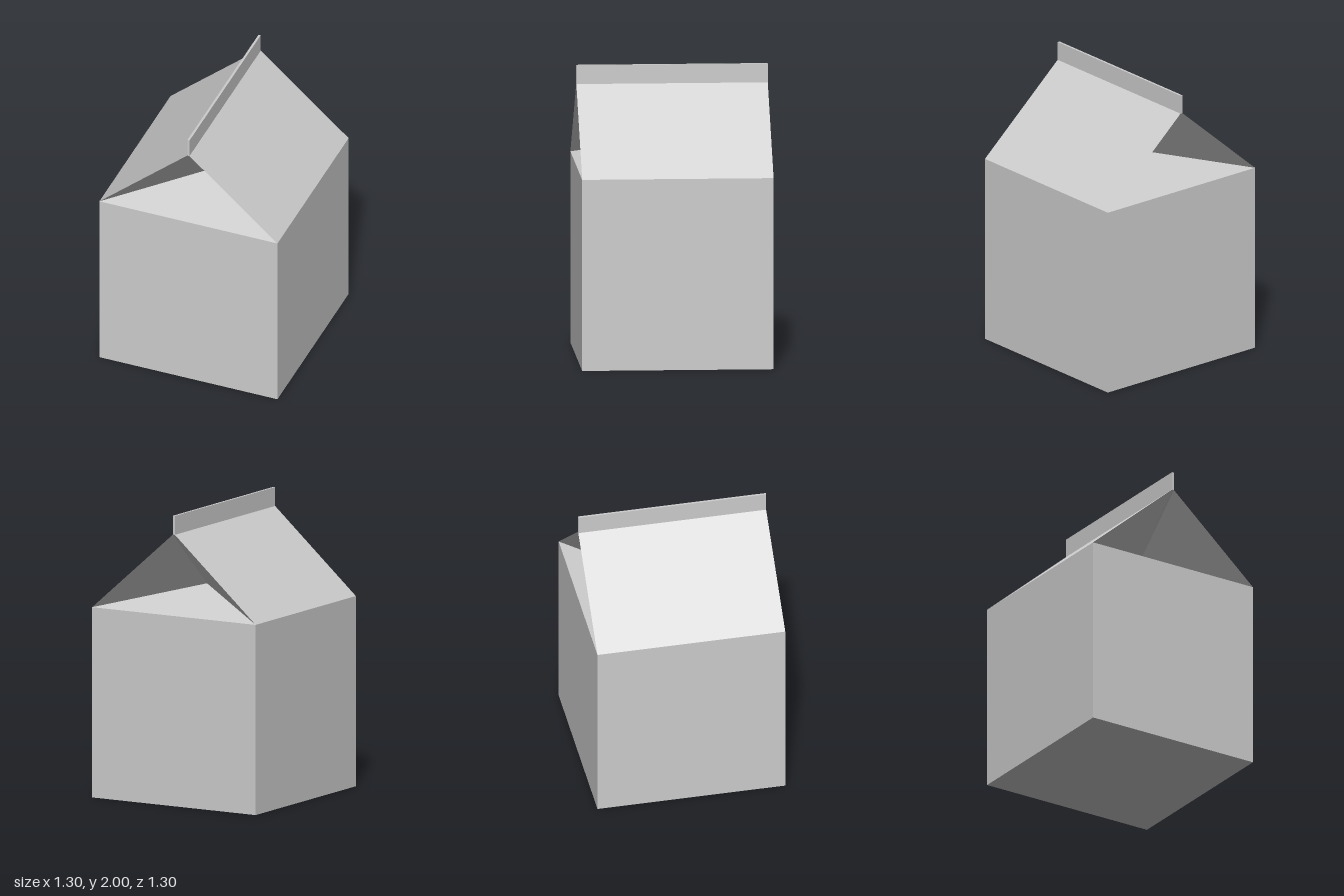
import * as THREE from 'three';

const HALF = 0.65;      // half width and depth of the carton
const SHOULDER = 1.31;  // top of the walls
const RIDGE = 1.87;     // top of the gable
const TOP = 2;          // top of the sealed fin
const FIN = 0.008;      // half thickness of the fin

// Flat-shaded geometry from convex polygons given as corner lists
function panels(polygons) {
  const positions = [];
  for (const p of polygons) {
    for (let i = 1; i < p.length - 1; i++) positions.push(...p[0], ...p[i], ...p[i + 1]);
  }
  const geometry = new THREE.BufferGeometry();
  geometry.setAttribute('position', new THREE.Float32BufferAttribute(positions, 3));
  geometry.computeVertexNormals();
  return geometry;
}

export function createModel() {
  const card = new THREE.MeshStandardMaterial({ color: 0xcccccc, side: THREE.DoubleSide });
  card.name = 'plain card';
  const carton = new THREE.Group();
  carton.name = 'carton';

  const add = (parent, name, geometry) => {
    const mesh = new THREE.Mesh(geometry, card);
    mesh.name = name;
    parent.add(mesh);
    return mesh;
  };

  // Corners of one half: shoulders, ridge ends and the tucked-in fold point
  const left = [HALF, SHOULDER, HALF];
  const right = [-HALF, SHOULDER, HALF];
  const leftBack = [HALF, SHOULDER, -HALF];
  const ridgeLeft = [FIN, RIDGE, HALF];
  const ridgeRight = [-FIN, RIDGE, HALF];
  const ridgeBack = [FIN, RIDGE, -HALF];
  const fold = [0, 1.47, HALF - 0.43];
  const floor = ([x, , z]) => [x, 0, z];

  // The carton repeats after a half turn
  for (let i = 0; i < 2; i++) {
    const half = new THREE.Group();
    half.name = i ? 'backHalf' : 'frontHalf';
    half.rotation.y = i * Math.PI;
    carton.add(half);

    add(half, 'endWall', panels([[floor(right), floor(left), left, right]]));
    add(half, 'sideWall', panels([[floor(left), floor(leftBack), leftBack, left]]));
    add(half, 'roofSlope', panels([[left, leftBack, ridgeBack, ridgeLeft]]));
    add(half, 'gableFlap', panels([[right, left, fold]]));
    add(half, 'gableFolds', panels([
      [right, fold, ridgeRight],
      [left, ridgeLeft, fold],
      [fold, ridgeLeft, ridgeRight],
    ]));
  }

  // Base
  add(carton, 'base', panels([[
    [-HALF, 0, -HALF], [HALF, 0, -HALF], [HALF, 0, HALF], [-HALF, 0, HALF],
  ]]));

  // Sealed fin along the ridge
  const fin = add(carton, 'ridgeFin', new THREE.BoxGeometry(FIN * 2, TOP - RIDGE, HALF * 2));
  fin.position.y = (TOP + RIDGE) / 2;

  return carton;
}
